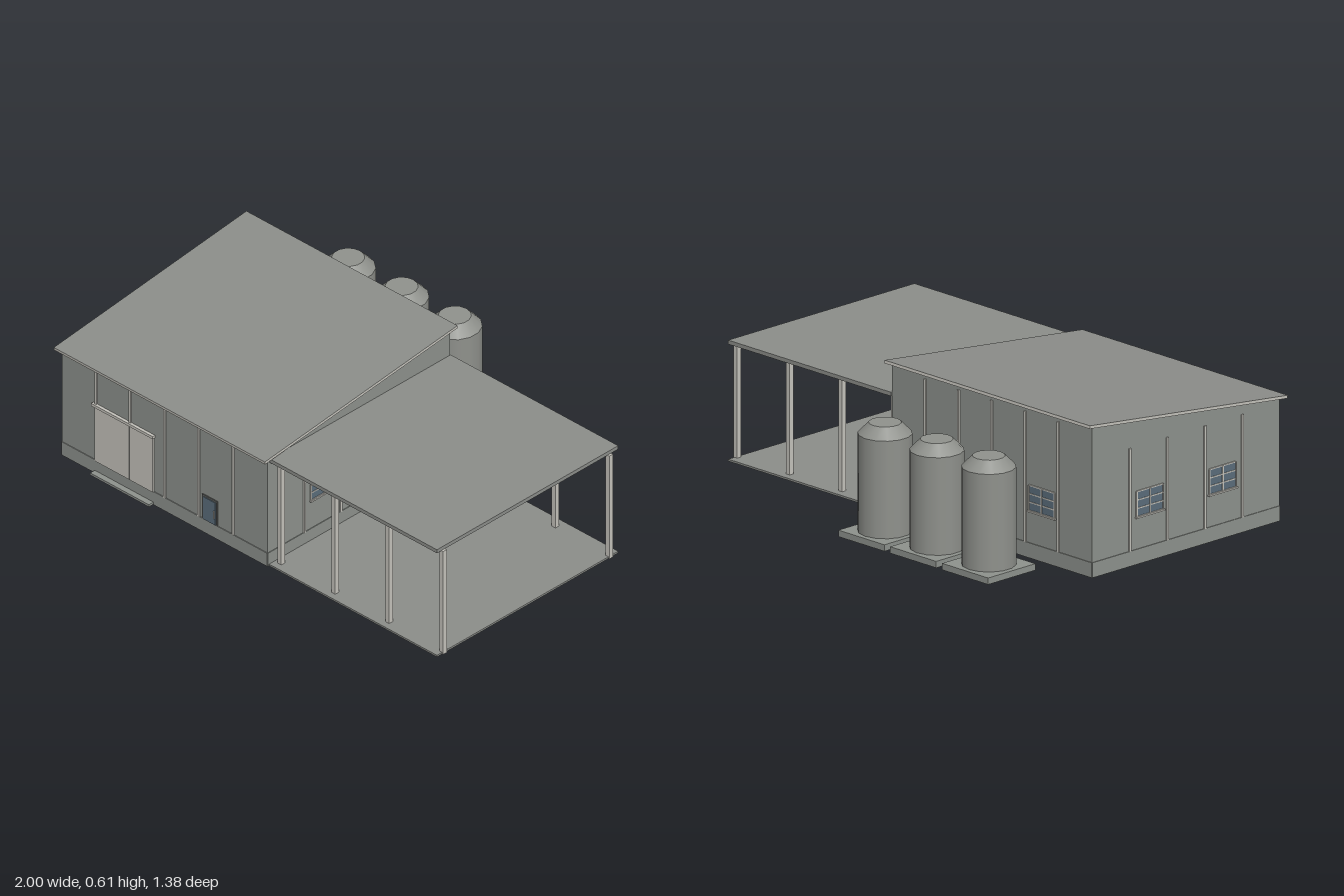
import * as THREE from 'three';

const mat = (name, color, side = THREE.FrontSide) => {
  const m = new THREE.MeshStandardMaterial({ color, side });
  m.name = name;
  return m;
};

export function createModel() {
  const wall = mat('wall grey', 0x8d918c);
  const roof = mat('roof grey', 0x8b8d89);
  const trim = mat('light trim', 0xc4c2bb);
  const glass = mat('window glass', 0x5a6c7a);
  const dark = mat('door frame grey', 0x5f6260);
  const tankGrey = mat('tank grey', 0x8f918c);
  const model = new THREE.Group();

  // Box given by its min and max corners
  const box = (parent, name, m, x0, x1, y0, y1, z0, z1) => {
    const mesh = new THREE.Mesh(new THREE.BoxGeometry(x1 - x0, y1 - y0, z1 - z0), m);
    mesh.position.set((x0 + x1) / 2, (y0 + y1) / 2, (z0 + z1) / 2);
    mesh.name = name;
    parent.add(mesh);
    return mesh;
  };
  const group = (name, parent = model) => {
    const g = new THREE.Group();
    g.name = name;
    parent.add(g);
    return g;
  };

  // Building footprint
  const L = -0.985, R = 0.1, F = 0.655, B = -0.335, T = 0.01;
  const midX = (L + R) / 2, midZ = (F + B) / 2;
  const under = z => 0.486 + (0.685 - z) * 0.1127;

  // Sloped side walls
  const profile = new THREE.Shape();
  profile.moveTo(-F, 0);
  profile.lineTo(-B, 0);
  profile.lineTo(-B, under(B));
  profile.lineTo(-F, under(F));
  const sideGeo = new THREE.ExtrudeGeometry(profile, { depth: T, bevelEnabled: false });
  sideGeo.rotateY(Math.PI / 2);
  for (const [name, x] of [['leftWall', R - T], ['rightWall', L]]) {
    const m = new THREE.Mesh(sideGeo, wall);
    m.name = name;
    m.position.x = x;
    model.add(m);
  }
  box(model, 'frontWall', wall, L + T, R - T, 0, under(F), F - T, F);
  box(model, 'backWall', wall, L + T, R - T, 0, under(B) - 0.001, B, B + T);

  // Mono-pitch roof slab: grey sheet on light edges
  const run = 1.047, rise = 0.118;
  const slab = new THREE.Mesh(
    new THREE.BoxGeometry(1.115, 0.012, Math.hypot(run, rise)),
    [trim, trim, roof, trim, trim, trim]);
  slab.name = 'mainRoof';
  slab.rotation.x = Math.atan2(rise, run);
  slab.position.set(-0.4425, 0.55, 0.1615);
  model.add(slab);

  // Window running through the wall, in face coordinates
  const addWindow = (face, cx) => {
    const g = group('window', face);
    g.position.set(cx, 0.24, 0);
    const w = 0.07, h = 0.05;
    box(g, 'windowGlass', glass, -w, w, -h, h, -0.013, 0.003);
    for (const x of [-w, 0, w])
      box(g, 'windowUpright', trim, x - 0.003, x + 0.003, -h, h, -0.014, 0.006);
    for (const y of [-h, -h / 3, h / 3, h])
      box(g, 'windowBar', trim, -w, w, y - 0.0025, y + 0.0025, -0.014, 0.005);
    box(g, 'windowSill', trim, -w - 0.006, w + 0.006, -h - 0.006, -h, 0, 0.01);
  };

  // One wall face: plinth, evenly spaced pilasters and windows
  const addFace = (name, x, z, turn, width, bays, top, windows) => {
    const face = group(name);
    face.position.set(x, 0, z);
    face.rotation.y = turn;
    box(face, 'plinth', wall, -width / 2, width / 2, 0, 0.06, 0, 0.003);
    for (let i = 1; i < bays; i++) {
      const px = -width / 2 + (width * i) / bays;
      box(face, 'pilaster', trim, px - 0.005, px + 0.005, 0.06, top, 0, 0.006);
    }
    windows.forEach(cx => addWindow(face, cx));
    return face;
  };
  const sideWindows = [-0.1925, 0.1925];
  const front = addFace('frontFace', midX, F, 0, R - L, 6, 0.475, []);
  addFace('backFace', midX, B, Math.PI, R - L, 6, 0.58, [-0.2715, 0.2715]);
  addFace('leftFace', R, midZ, Math.PI / 2, F - B, 5, 0.47, sideWindows);
  addFace('rightFace', L, midZ, -Math.PI / 2, F - B, 5, 0.47, sideWindows);

  // Sliding double door with rail and ramp
  const big = group('slidingDoor', front);
  big.position.x = -midX;
  box(big, 'doorPanel', trim, -0.803, -0.623, 0.06, 0.308, -0.013, 0.009);
  box(big, 'doorPanel', trim, -0.619, -0.5, 0.06, 0.308, -0.013, 0.009);
  box(big, 'panelGap', dark, -0.623, -0.619, 0.06, 0.308, -0.012, 0.007);
  box(big, 'doorRail', trim, -0.82, -0.495, 0.306, 0.318, 0, 0.013);
  box(big, 'doorRamp', wall, -0.81, -0.5, 0.002, 0.012, 0, 0.028);

  // Small entrance door
  const small = group('entranceDoor', front);
  small.position.x = -midX;
  box(small, 'doorFrame', dark, -0.242, -0.163, 0.06, 0.172, -0.012, 0.004);
  box(small, 'doorLeaf', glass, -0.235, -0.17, 0.062, 0.164, -0.014, 0.007);
  box(small, 'doorHandle', trim, -0.179, -0.175, 0.09, 0.125, 0.007, 0.011);

  // Open canopy: floor, flat roof and two rows of posts
  const canopy = group('canopy');
  box(canopy, 'canopyFloor', roof, R, 0.99, 0, 0.008, B, 0.65);
  box(canopy, 'canopyRoof', roof, R, 0.985, 0.469, 0.485, -0.34, 0.645);
  for (const x of [0.13, 0.415, 0.7, 0.985])
    for (const z of [0.612, -0.292])
      box(canopy, 'canopyPost', trim, x - 0.01, x + 0.01, 0, 0.47, z - 0.01, z + 0.01);

  // Three storage tanks on square pads behind the building
  const cyl = (parent, name, rTop, rBottom, y0, y1, open) => {
    const m = new THREE.Mesh(
      new THREE.CylinderGeometry(rTop, rBottom, y1 - y0, 14, 1, open), tankGrey);
    m.name = name;
    m.position.y = (y0 + y1) / 2;
    parent.add(m);
  };
  for (const x of [-0.66, -0.378, -0.097]) {
    const tank = group('storageTank');
    tank.position.set(x, 0, -0.565);
    box(tank, 'tankPad', wall, -0.125, 0.125, 0.007, 0.033, -0.125, 0.125);
    cyl(tank, 'tankBody', 0.105, 0.105, 0.033, 0.422, true);
    cyl(tank, 'tankTop', 0.063, 0.105, 0.422, 0.465, false);
  }
  return model;
}
